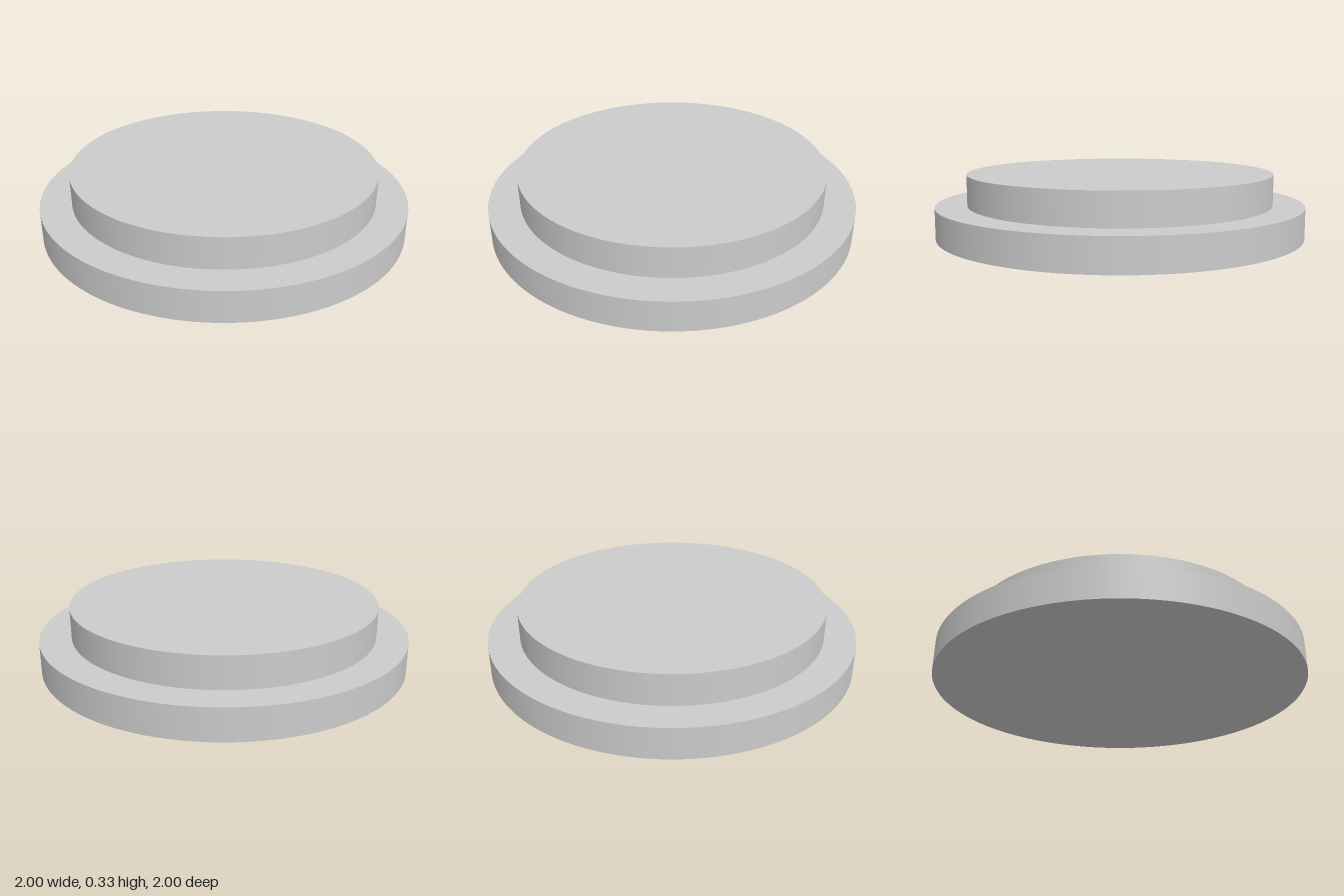
import * as THREE from 'three';

export function createModel() {
  const group = new THREE.Group();
  group.name = 'steppedDisc';
  const material = new THREE.MeshStandardMaterial({ color: 0xcccccc });
  const stepHeight = 1 / 6;

  // A round slab standing on the given height
  function addDisc(name, radius, bottom) {
    const geometry = new THREE.CylinderGeometry(radius, radius, stepHeight, 128);
    const disc = new THREE.Mesh(geometry, material);
    disc.name = name;
    disc.position.y = bottom + stepHeight / 2;
    group.add(disc);
  }

  // Wide base with a narrower step on top
  addDisc('lowerDisc', 1, 0);
  addDisc('upperDisc', 0.832, stepHeight);

  return group;
}
